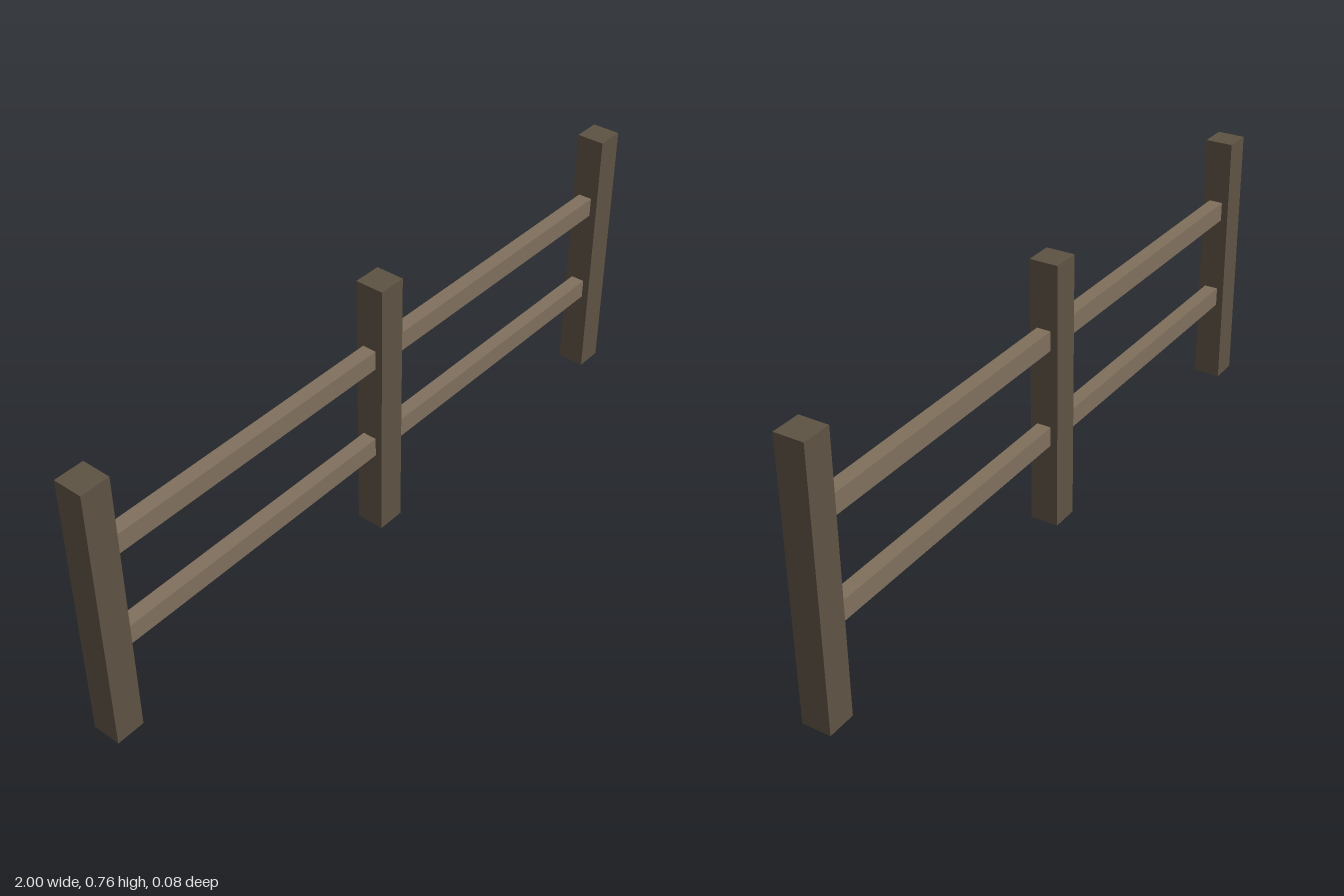
import * as THREE from 'three';

export function createModel() {
  const fence = new THREE.Group();
  fence.name = 'fence';

  const postWood = new THREE.MeshStandardMaterial({ color: 0x5e5344 });
  postWood.name = 'dark post wood';
  const railWood = new THREE.MeshStandardMaterial({ color: 0x80705d });
  railWood.name = 'light rail wood';

  const addBox = (name, size, position, material) => {
    const mesh = new THREE.Mesh(new THREE.BoxGeometry(...size), material);
    mesh.name = name;
    mesh.position.set(...position);
    fence.add(mesh);
  };

  // Three square posts
  const postHeight = 0.76, postWidth = 0.08;
  const posts = [['rightPost', -0.96], ['middlePost', 0], ['leftPost', 0.96]];
  for (const [name, x] of posts) {
    addBox(name, [postWidth, postHeight, postWidth], [x, postHeight / 2, 0], postWood);
  }

  // Two rails running through the middle post and into the end posts
  for (const [name, y] of [['lowerRail', 0.271], ['upperRail', 0.549]]) {
    addBox(name, [1.92, 0.055, 0.04], [0, y, 0], railWood);
  }

  return fence;
}
